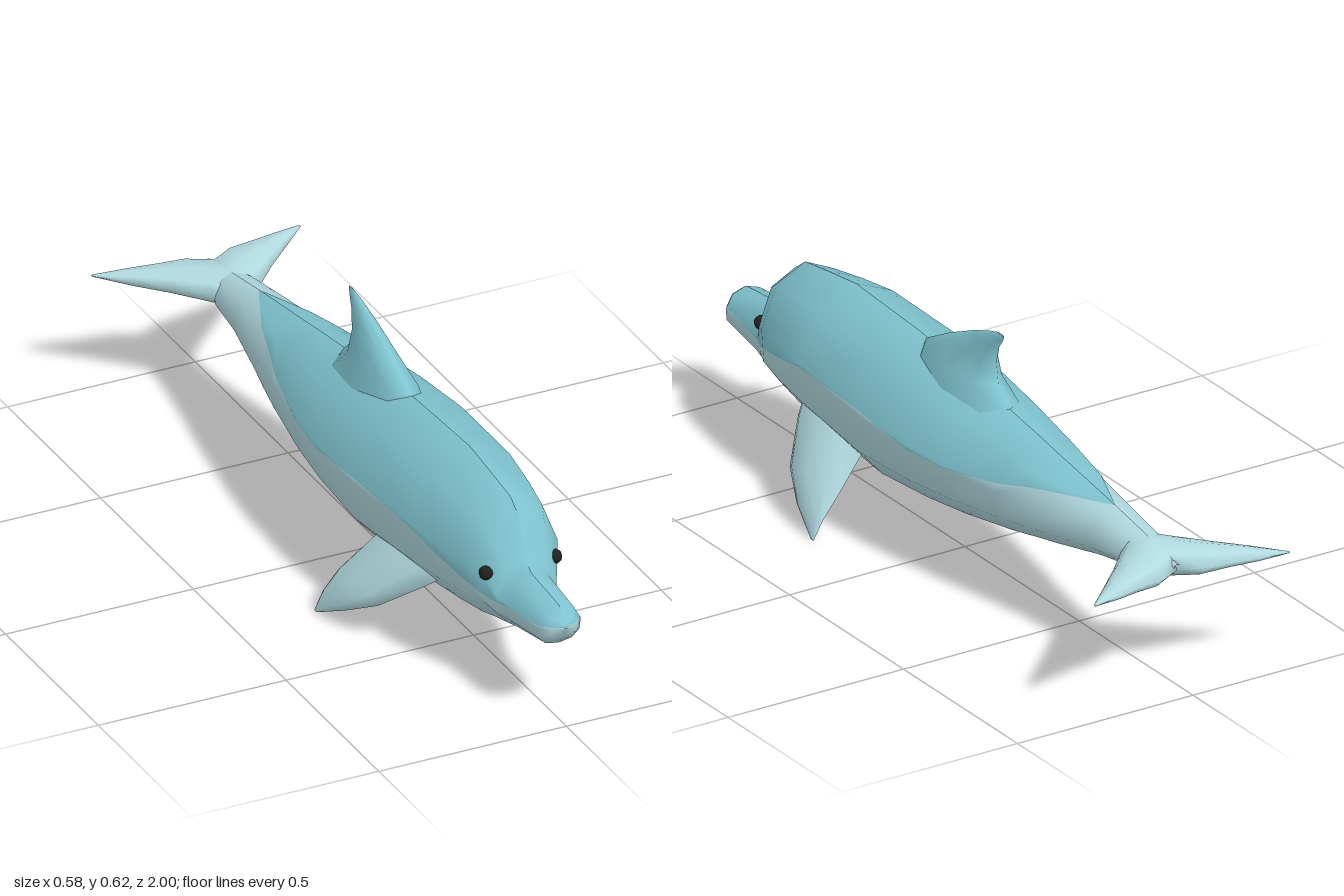
import * as THREE from 'three';
import { mergeVertices } from 'three/addons/utils/BufferGeometryUtils.js';

const blue = new THREE.MeshStandardMaterial({ name: 'blueBack', color: 0x80c5d1 });
const pale = new THREE.MeshStandardMaterial({ name: 'paleBelly', color: 0xb2dbe1 });
const black = new THREE.MeshStandardMaterial({ name: 'eyeBlack', color: 0x222222 });

// Body sections, nose to tail: z, top y, bottom y, half width, y of the colour line
const SECTIONS = [
  [1.0, 0.271, 0.269, 0.004, 0.27],
  [0.985, 0.295, 0.235, 0.035, 0.27],
  [0.96, 0.312, 0.21, 0.058, 0.268],
  [0.81, 0.325, 0.183, 0.07, 0.252],
  [0.785, 0.345, 0.178, 0.08, 0.25],
  [0.745, 0.445, 0.172, 0.103, 0.26],
  [0.7, 0.478, 0.165, 0.125, 0.28],
  [0.6, 0.492, 0.153, 0.145, 0.3],
  [0.48, 0.507, 0.14, 0.16, 0.325],
  [0.2, 0.492, 0.12, 0.178, 0.325],
  [0, 0.468, 0.135, 0.17, 0.3],
  [-0.15, 0.447, 0.152, 0.155, 0.303],
  [-0.33, 0.42, 0.178, 0.128, 0.325],
  [-0.42, 0.405, 0.195, 0.112, 0.345],
  [-0.5, 0.393, 0.208, 0.095, 0.357],
  [-0.66, 0.368, 0.24, 0.068, 0.368],
  [-0.78, 0.347, 0.258, 0.058, 0.347],
  [-0.93, 0.318, 0.292, 0.01, 0.318],
];

// Half outline of a section: depth below the top and share of the half width
const DEPTH = [0, 0.125, 0.47, 0.75, 0.94, 1];
const WIDTH = [0, 0.66, 1, 0.95, 0.6, 0];

function widthAt(t) {
  let k = 0;
  while (k < DEPTH.length - 2 && t > DEPTH[k + 1]) k++;
  return THREE.MathUtils.mapLinear(t, DEPTH[k], DEPTH[k + 1], WIDTH[k], WIDTH[k + 1]);
}

function makeGeometry(points, index) {
  const g = new THREE.BufferGeometry();
  g.setAttribute('position', new THREE.Float32BufferAttribute(points, 3));
  g.setIndex(index);
  return g;
}

// Left half of the body; the outline is clamped at the colour line for each material
function halfBody() {
  const points = [], index = [], n = DEPTH.length;
  const clamps = [Math.min, Math.max];
  for (const clamp of clamps) {
    const base = points.length / 3;
    SECTIONS.forEach(([z, top, bottom, w, line], i) => {
      const cut = (top - line) / (top - bottom);
      DEPTH.forEach((d, j) => {
        const t = clamp(d, cut);
        points.push(w * widthAt(t), top - t * (top - bottom), z);
        if (i && j) {
          const c = base + i * n + j, a = c - n;
          index.push(a - 1, a, c - 1, a, c, c - 1);
        }
      });
    });
  }
  const g = mergeVertices(makeGeometry(points, index), 1e-5);
  g.addGroup(0, index.length / 2, 0);
  g.addGroup(index.length / 2, index.length / 2, 1);
  g.computeVertexNormals();
  return g;
}

// Fin with chord along z. Sections: x, y, front z, back z, half thickness
function fin(sections, direction) {
  const N = 8, points = [], index = [];
  const v = new THREE.Vector3(...direction).normalize().cross(new THREE.Vector3(0, 0, 1));
  sections.forEach(([x, y, front, back, thick], i) => {
    for (let j = 0; j < N; j++) {
      const a = (j / N) * Math.PI * 2, s = Math.sin(a) * thick;
      points.push(x + v.x * s, y + v.y * s, (front + back) / 2 + (Math.cos(a) * (front - back)) / 2);
      if (i) {
        const k = (j + 1) % N, p = (i - 1) * N, q = i * N;
        index.push(p + j, p + k, q + j, p + k, q + k, q + j);
      }
    }
  });
  // Close the tip
  const last = (sections.length - 1) * N;
  for (let j = 1; j < N - 1; j++) index.push(last, last + j, last + j + 1);
  const g = makeGeometry(points, index);
  g.computeVertexNormals();
  return g;
}

function mirrored(geometry) {
  const g = geometry.clone().scale(-1, 1, 1);
  const idx = g.index.array;
  for (let i = 0; i < idx.length; i += 3) [idx[i], idx[i + 1]] = [idx[i + 1], idx[i]];
  g.computeVertexNormals();
  return g;
}

export function createModel() {
  const model = new THREE.Group();
  model.name = 'dolphin';
  const add = (name, geometry, material) => {
    const mesh = new THREE.Mesh(geometry, material);
    mesh.name = name;
    model.add(mesh);
    return mesh;
  };
  const addPair = (name, geometry, material) => {
    add('left' + name, geometry, material);
    add('right' + name, mirrored(geometry), material);
  };

  addPair('Body', halfBody(), [blue, pale]);

  // Swept-back fin on the back
  add('dorsalFin', fin([
    [0, 0.41, 0.2, -0.23, 0.085],
    [0, 0.485, 0.17, -0.147, 0.056],
    [0, 0.54, 0.065, -0.138, 0.033],
    [0, 0.585, -0.035, -0.15, 0.018],
    [0, 0.61, -0.1, -0.168, 0.008],
    [0, 0.622, -0.14, -0.172, 0.002],
  ], [0, 1, 0]), blue);

  // Flippers reaching down and outward
  addPair('Flipper', fin([
    [0.09, 0.22, 0.56, 0.26, 0.05],
    [0.138, 0.178, 0.52, 0.245, 0.046],
    [0.22, 0.1, 0.43, 0.222, 0.031],
    [0.262, 0.05, 0.335, 0.22, 0.016],
    [0.287, 0.002, 0.235, 0.222, 0.002],
  ], [0.75, -0.7, 0]), pale);

  // Tail flukes
  addPair('Fluke', fin([
    [0, 0.304, -0.7, -0.93, 0.04],
    [0.06, 0.304, -0.775, -0.963, 0.036],
    [0.13, 0.305, -0.85, -0.972, 0.026],
    [0.2, 0.305, -0.918, -0.985, 0.017],
    [0.277, 0.306, -0.992, -1.0, 0.002],
  ], [1, 0, 0]), pale);

  // Eyes
  for (const side of [1, -1]) {
    const eye = add(side > 0 ? 'leftEye' : 'rightEye', new THREE.SphereGeometry(0.018, 8, 6), black);
    eye.position.set(side * 0.092, 0.32, 0.753);
  }
  return model;
}
